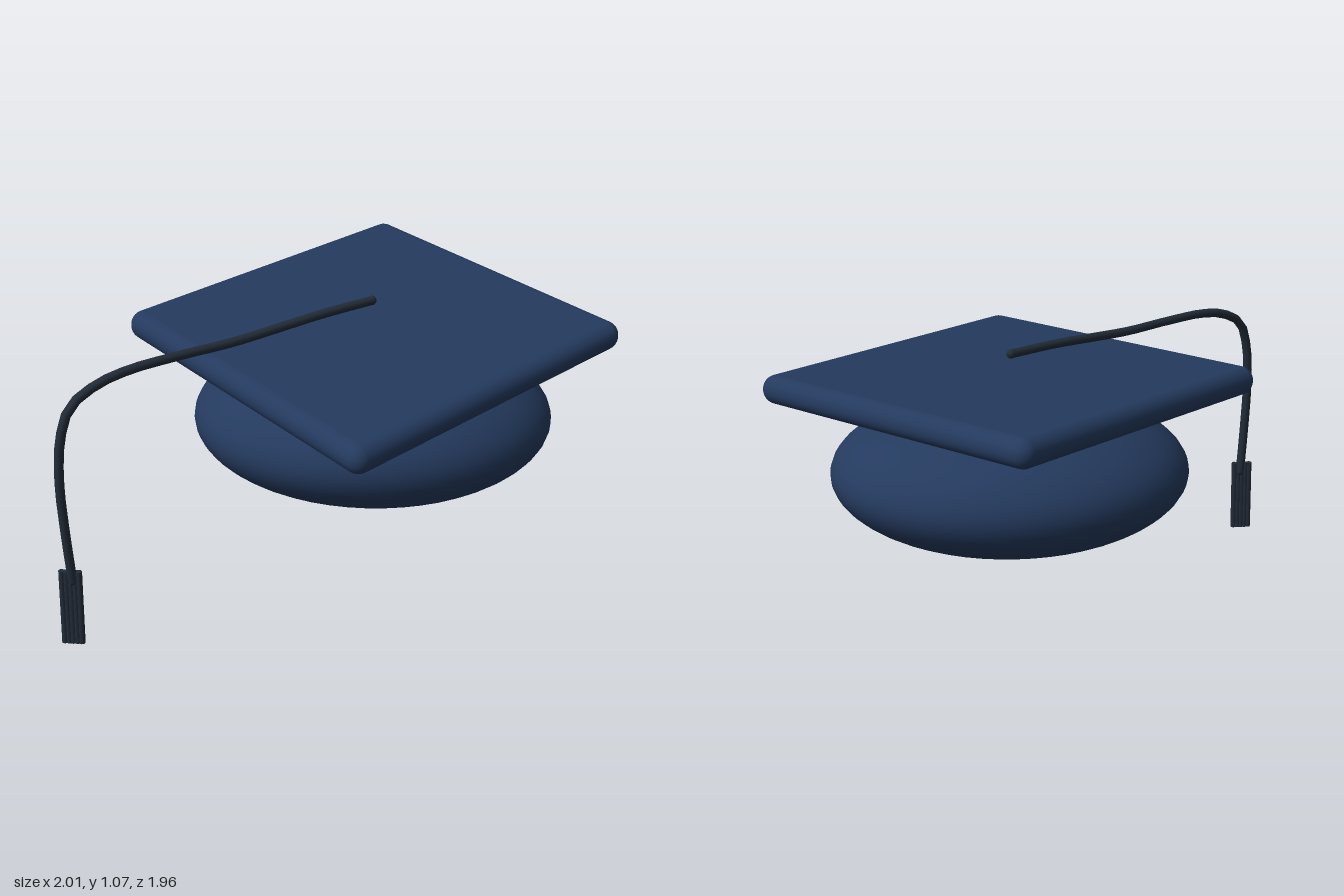
import * as THREE from 'three';
import { RoundedBoxGeometry } from 'three/addons/geometries/RoundedBoxGeometry.js';

const navy = new THREE.MeshStandardMaterial({ color: 0x243a5e });
navy.name = 'navy cloth';
const slate = new THREE.MeshStandardMaterial({ color: 0x222c38 });
slate.name = 'dark cord';

function addMesh(parent, name, geometry, material, x = 0, y = 0, z = 0) {
  const mesh = new THREE.Mesh(geometry, material);
  mesh.name = name;
  mesh.position.set(x, y, z);
  parent.add(mesh);
  return mesh;
}

// Square board turned to a diamond, its front half drawn out a little
function boardGeometry() {
  const geometry = new RoundedBoxGeometry(1.333, 0.11, 1.333, 5, 0.054);
  geometry.rotateY(Math.PI / 4);
  const p = geometry.attributes.position;
  for (let i = 0; i < p.count; i++) {
    const z = p.getZ(i);
    p.setZ(i, z * (z > 0 ? 1.109 : 1.027));
  }
  return geometry;
}

export function createModel() {
  const model = new THREE.Group();
  model.name = 'graduationCap';

  // Rounded crown
  const crown = addMesh(model, 'crown', new THREE.SphereGeometry(1, 48, 32), navy, 0.085, 0.59, -0.03);
  crown.scale.set(0.685, 0.283, 0.58);

  // Flat board, tipped down at the front
  const board = addMesh(model, 'board', boardGeometry(), navy, 0.085, 0.93, -0.04);
  board.rotation.x = 0.063;

  // Cord running from the middle of the board out and down
  const path = [
    [0.08, 1.05], [-0.1, 1.045], [-0.25, 1.033], [-0.4, 1.022], [-0.58, 1.022], [-0.74, 1.015],
    [-0.84, 0.988], [-0.918, 0.93], [-0.953, 0.82], [-0.965, 0.66], [-0.96, 0.48], [-0.948, 0.26],
  ].map(([x, y]) => new THREE.Vector3(x, y, -0.04 + (0.085 - x) * 0.762));
  const cord = new THREE.CatmullRomCurve3(path);
  addMesh(model, 'cord', new THREE.TubeGeometry(cord, 30, 0.018, 8), slate);
  [path[0], path[path.length - 1]].forEach((end) =>
    addMesh(model, 'cordEnd', new THREE.SphereGeometry(0.018, 10, 8), slate, end.x, end.y, end.z));

  // Tassel: a flat row of hanging strands
  const tassel = new THREE.Group();
  tassel.name = 'tassel';
  tassel.position.set(-0.957, 0.15, 0.748);
  tassel.rotation.z = -0.02;
  for (let i = -2; i <= 2; i++) {
    addMesh(tassel, 'strand', new THREE.CylinderGeometry(0.012, 0.012, 0.298, 8), slate, i * 0.0155, 0, 0);
  }
  model.add(tassel);

  return model;
}
